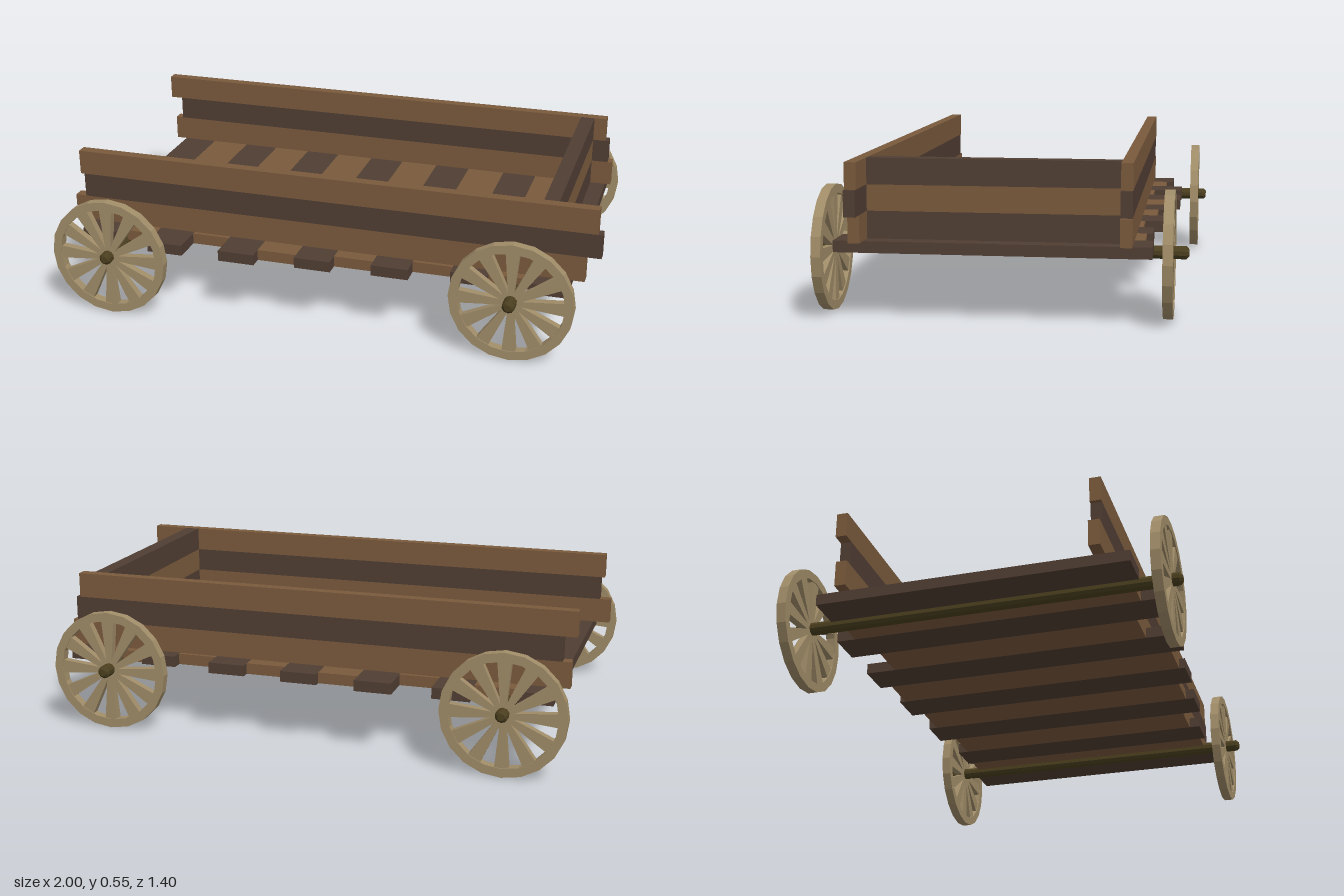
import * as THREE from 'three';

const mat = (color) => new THREE.MeshStandardMaterial({ color, flatShading: true });

export function createModel() {
  const cart = new THREE.Group();
  cart.name = 'cart';
  const light = mat(0x7a5a3c), dark = mat(0x503e33), wheelWood = mat(0xa08c68), axleWood = mat(0x4b3f1f);

  // Board given by its limits on each axis
  const board = (name, material, x0, x1, y0, y1, z0, z1) => {
    const m = new THREE.Mesh(new THREE.BoxGeometry(x1 - x0, y1 - y0, z1 - z0), material);
    m.position.set((x0 + x1) / 2, (y0 + y1) / 2, (z0 + z1) / 2);
    m.name = name;
    cart.add(m);
  };

  // Floor: alternating cross planks of uneven length
  const edges = [-0.933, -0.8, -0.652, -0.516, -0.372, -0.235, -0.088, 0.048, 0.195, 0.332, 0.479, 0.612, 0.76, 0.896];
  const halves = [0.557, 0.53, 0.6, 0.487, 0.6, 0.553, 0.576, 0.525, 0.557, 0.487, 0.527, 0.507, 0.537];
  halves.forEach((h, i) =>
    board('floorPlank', i % 2 ? light : dark, edges[i], edges[i + 1], 0.235, 0.275, -h, h));

  // Walls: three stacked planks each, side ends staggered
  const rows = [0.275, 0.37, 0.46, 0.551];
  const front = [[-0.997, 0.945], [-0.955, 0.997], [-0.97, 0.98]];
  const back = [[-0.975, 0.917], [-0.945, 0.9], [-0.992, 0.885]];
  for (let i = 0; i < 3; i++) {
    const [y0, y1] = [rows[i], rows[i + 1]];
    const side = i === 1 ? dark : light, end = i === 1 ? light : dark;
    board('frontWallPlank', side, ...front[i], y0, y1, 0.432, 0.472);
    board('backWallPlank', side, ...back[i], y0, y1, -0.472, -0.432);
    board('endWallPlank', end, 0.783, 0.837, y0, y1, -0.432, 0.432);
  }

  // Wheel parts: faceted rim and spokes that widen outwards
  const R = 0.222, sides = 20, thick = 0.034;
  const ring = (r) => Array.from({ length: sides }, (_, i) => {
    const a = (i / sides) * Math.PI * 2;
    return new THREE.Vector2(Math.cos(a) * r, Math.sin(a) * r);
  });
  const extrude = (shape, depth) =>
    new THREE.ExtrudeGeometry(shape, { depth, bevelEnabled: false }).translate(0, 0, -depth / 2);
  const rimShape = new THREE.Shape(ring(R));
  rimShape.holes.push(new THREE.Path(ring(0.19).reverse()));
  const rimGeo = extrude(rimShape, thick);
  const spokeGeo = extrude(new THREE.Shape([
    new THREE.Vector2(0.012, -0.008), new THREE.Vector2(0.194, -0.025),
    new THREE.Vector2(0.194, 0.025), new THREE.Vector2(0.012, 0.008),
  ]), thick * 0.8);

  const makeWheel = () => {
    const wheel = new THREE.Group();
    wheel.name = 'wheel';
    const rim = new THREE.Mesh(rimGeo, wheelWood);
    rim.name = 'rim';
    wheel.add(rim);
    for (let i = 0; i < 12; i++) {
      const spoke = new THREE.Mesh(spokeGeo, wheelWood);
      spoke.name = 'spoke';
      spoke.rotation.z = (i * Math.PI) / 6;
      wheel.add(spoke);
    }
    return wheel;
  };

  // Axles with chamfered ends, each carrying two wheels
  for (const [x, track, half] of [[-0.78, 0.653, 0.702], [0.711, 0.588, 0.655]]) {
    const profile = [[0, -half], [0.013, -half], [0.023, -half + 0.01],
      [0.023, half - 0.01], [0.013, half], [0, half]].map((p) => new THREE.Vector2(...p));
    const axle = new THREE.Mesh(new THREE.LatheGeometry(profile, 10).rotateX(Math.PI / 2), axleWood);
    axle.name = 'axle';
    axle.position.set(x, 0.228, 0);
    cart.add(axle);
    for (const s of [-1, 1]) {
      const wheel = makeWheel();
      wheel.position.set(x, R, s * track);
      cart.add(wheel);
    }
  }
  return cart;
}
